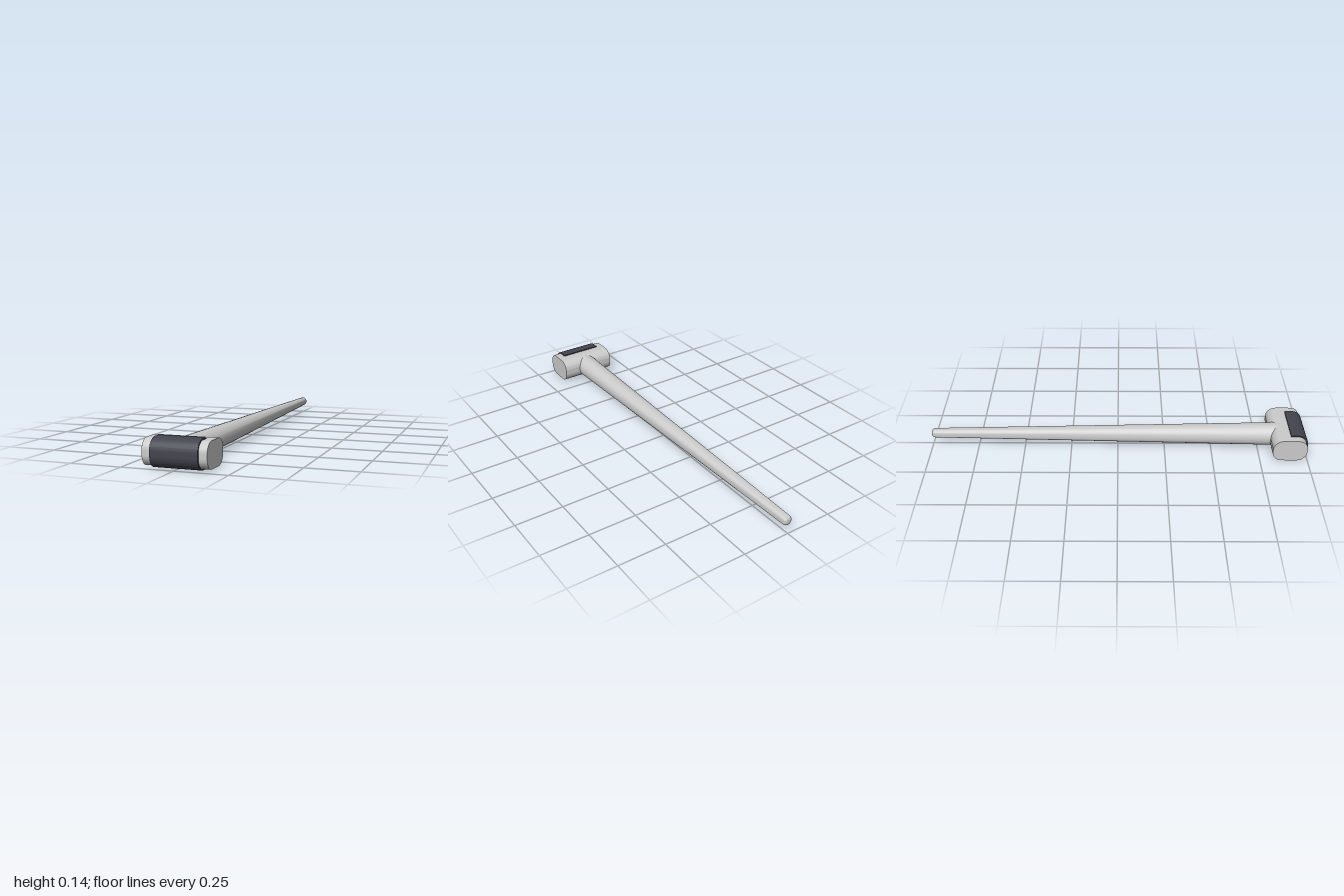
import * as THREE from 'three';
import { toCreasedNormals } from 'three/addons/utils/BufferGeometryUtils.js';

const AXIS_Y = 0.068;

// Rounded block outline; the rear corners may be left square
function outline(back, front, halfHeight, frontRadius, backRadius) {
  const s = new THREE.Shape();
  const h = halfHeight, f = frontRadius, b = backRadius;
  s.moveTo(back + b, -h);
  s.lineTo(front - f, -h);
  s.absarc(front - f, -h + f, f, -Math.PI / 2, 0, false);
  s.lineTo(front, h - f);
  s.absarc(front - f, h - f, f, 0, Math.PI / 2, false);
  s.lineTo(back + b, h);
  if (b > 0) {
    s.absarc(back + b, h - b, b, Math.PI / 2, Math.PI, false);
    s.lineTo(back, -h + b);
    s.absarc(back + b, -h + b, b, Math.PI, Math.PI * 1.5, false);
  } else {
    s.lineTo(back, -h);
  }
  return s;
}

// Extrudes a z-y outline across x, centred on x = 0
function acrossX(shape, width) {
  const geo = new THREE.ExtrudeGeometry(shape, { depth: width, bevelEnabled: false, curveSegments: 12 });
  geo.translate(0, 0, -width / 2);
  geo.rotateY(-Math.PI / 2);
  return toCreasedNormals(geo, Math.PI / 6);
}

export function createModel() {
  const group = new THREE.Group();
  const grey = new THREE.MeshStandardMaterial({ color: 0xcccccc });
  const dark = new THREE.MeshStandardMaterial({ color: 0x44444f });

  const add = (name, geo, material) => {
    const mesh = new THREE.Mesh(geo, material);
    mesh.name = name;
    mesh.position.y = AXIS_Y;
    group.add(mesh);
  };

  // Head block with rounded long edges
  add('head', acrossX(outline(0.812, 0.992, 0.062, 0.052, 0.052), 0.304), grey);

  // Dark pad wrapped around the front half of the head
  add('frontPad', acrossX(outline(0.905, 1.0, 0.068, 0.058, 0), 0.224), dark);

  // Tapered handle with a rounded tip, running back from the head
  const profile = [new THREE.Vector2(0, -1)];
  const tip = 0.016;
  for (let i = 0; i <= 6; i++) {
    const a = (i / 6) * Math.PI / 2;
    profile.push(new THREE.Vector2(0.009 + tip * Math.sin(a), -1 + tip - tip * Math.cos(a)));
  }
  profile.push(new THREE.Vector2(0.0615, 0.88), new THREE.Vector2(0, 0.88));
  const handle = new THREE.LatheGeometry(profile, 32);
  handle.rotateX(Math.PI / 2);
  add('handle', toCreasedNormals(handle, Math.PI / 5), grey);

  return group;
}
